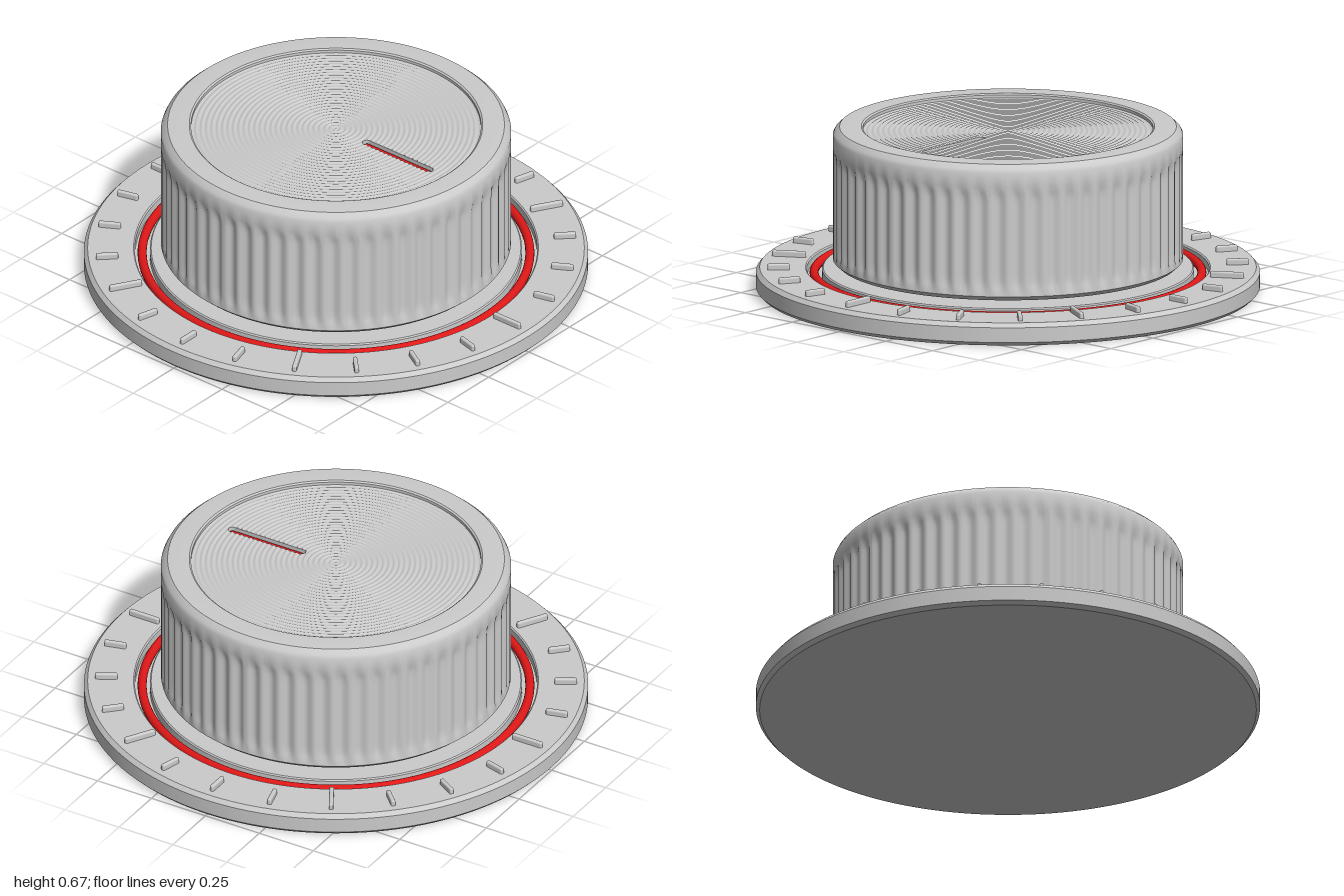
import * as THREE from 'three';
import { toCreasedNormals } from 'three/addons/utils/BufferGeometryUtils.js';
import { RoundedBoxGeometry } from 'three/addons/geometries/RoundedBoxGeometry.js';

const grey = new THREE.MeshStandardMaterial({ color: 0xcccccc });
const greyThin = new THREE.MeshStandardMaterial({ color: 0xcccccc, side: THREE.DoubleSide });
const red = new THREE.MeshStandardMaterial({ color: 0xe01818 });

const FACE_Y = 0.646, FACE_R = 0.575;
const SLOT = { from: 0.16, to: 0.48, r: 0.018 };

function part(name, geometry, material = grey) {
  const mesh = new THREE.Mesh(geometry, material);
  mesh.name = name;
  return mesh;
}

function lathe(profile, segments) {
  return new THREE.LatheGeometry(profile.map(([r, y]) => new THREE.Vector2(r, y)), segments);
}

// Pill outline along x, used for the slot walls
function pill(path, r) {
  path.absarc(SLOT.to, 0, r, -Math.PI / 2, Math.PI / 2, false);
  path.absarc(SLOT.from, 0, r, Math.PI / 2, Math.PI * 1.5, false);
  path.closePath();
  return path;
}

// Knob shell: chamfered drum with scalloped grip and a raised rim
function knobGeometry() {
  const flutes = 60, low = 0.135, high = 0.575, depth = 0.014;
  const profile = [[0, 0.112], [0.675, 0.112], [0.695, 0.13]];
  for (let i = 0; i <= 16; i++) profile.push([0.695, low + (high - low) * i / 16]);
  profile.push([0.695, 0.632], [0.688, 0.646], [0.668, 0.664], [0.66, 0.665],
    [0.582, 0.665], [FACE_R, 0.66], [FACE_R, FACE_Y - 0.004]);
  const geo = lathe(profile, flutes * 8);
  const p = geo.attributes.position;
  for (let i = 0; i < p.count; i++) {
    const x = p.getX(i), y = p.getY(i), z = p.getZ(i);
    if (y <= low || y >= high || Math.hypot(x, z) < 0.69) continue;
    // flutes fade out in rounded ends
    const fade = Math.sqrt(Math.min(1, (y - low) / 0.05, (high - y) / 0.05));
    const wave = 0.5 - 0.5 * Math.cos(flutes * Math.atan2(z, x));
    const k = 1 - depth * fade * wave / 0.695;
    p.setXYZ(i, x * k, y, z * k);
  }
  return toCreasedNormals(geo, 0.6);
}

// Rippled dial face: polar grid whose rows open up around the pointer slot
function faceGeometry() {
  const rows = 162, cols = 144, ripples = 27;
  const pos = [], index = [];
  for (let i = 0; i <= rows; i++) {
    const r = FACE_R * i / rows;
    const d = Math.max(SLOT.from - r, r - SLOT.to, 0);
    const half = d < SLOT.r ? Math.sqrt(SLOT.r ** 2 - d ** 2) : 0;
    const gap = half > 0 ? Math.asin(half / r) : 0;
    const y = FACE_Y + 0.002 * Math.cos(Math.PI * 2 * ripples * i / rows);
    for (let j = 0; j <= cols; j++) {
      const a = gap + (Math.PI * 2 - 2 * gap) * j / cols;
      pos.push(r * Math.cos(a), y, r * Math.sin(a));
      if (i < rows && j < cols) {
        const v = i * (cols + 1) + j, w = v + cols + 1;
        index.push(v, v + 1, w, v + 1, w + 1, w);
      }
    }
  }
  const geo = new THREE.BufferGeometry();
  geo.setAttribute('position', new THREE.Float32BufferAttribute(pos, 3));
  geo.setIndex(index);
  geo.computeVertexNormals();
  return geo;
}

export function createModel() {
  const model = new THREE.Group();
  model.name = 'rotaryKnob';

  // Base plate with a ring groove
  model.add(part('basePlate', toCreasedNormals(lathe([
    [0, 0], [0.985, 0], [1, 0.015], [1, 0.075], [0.985, 0.092],
    [0.803, 0.092], [0.798, 0.087], [0.798, 0.055],
    [0.738, 0.055], [0.738, 0.087], [0.733, 0.092], [0, 0.092],
  ], 160), 0.4)));

  // Red ring lying in the groove
  const ring = part('indicatorRing', new THREE.TorusGeometry(0.769, 0.018, 16, 160), red);
  ring.rotation.x = Math.PI / 2;
  ring.position.y = 0.07;
  model.add(ring);

  // Scale marks, every fourth one longer
  const scale = new THREE.Group();
  scale.name = 'scaleMarks';
  for (let i = 0; i < 24; i++) {
    const inner = i % 4 === 0 ? 0.82 : 0.867, outer = 0.956;
    const a = i * Math.PI / 12;
    const mark = part('scaleMark', new RoundedBoxGeometry(outer - inner, 0.03, 0.018, 3, 0.007));
    const r = (inner + outer) / 2;
    mark.position.set(r * Math.cos(a), 0.101, -r * Math.sin(a));
    mark.rotation.y = a;
    scale.add(mark);
  }
  model.add(scale);

  // Knob
  const knob = new THREE.Group();
  knob.name = 'knob';
  knob.add(part('knobBody', knobGeometry()));
  knob.add(part('knobFace', faceGeometry()));

  // Slot walls and the red pointer set inside them
  const wallShape = pill(new THREE.Shape(), SLOT.r + 0.004);
  wallShape.holes.push(pill(new THREE.Path(), SLOT.r));
  const walls = part('pointerSlot', new THREE.ExtrudeGeometry(wallShape,
    { depth: 0.03, bevelEnabled: false, curveSegments: 16 }), greyThin);
  walls.rotation.x = -Math.PI / 2;
  walls.position.y = FACE_Y - 0.032;
  knob.add(walls);

  const pointer = part('pointer', new THREE.CapsuleGeometry(SLOT.r, SLOT.to - SLOT.from, 8, 20), red);
  pointer.rotation.z = Math.PI / 2;
  pointer.position.set((SLOT.from + SLOT.to) / 2, FACE_Y - 0.01 - SLOT.r, 0);
  knob.add(pointer);
  model.add(knob);

  return model;
}
